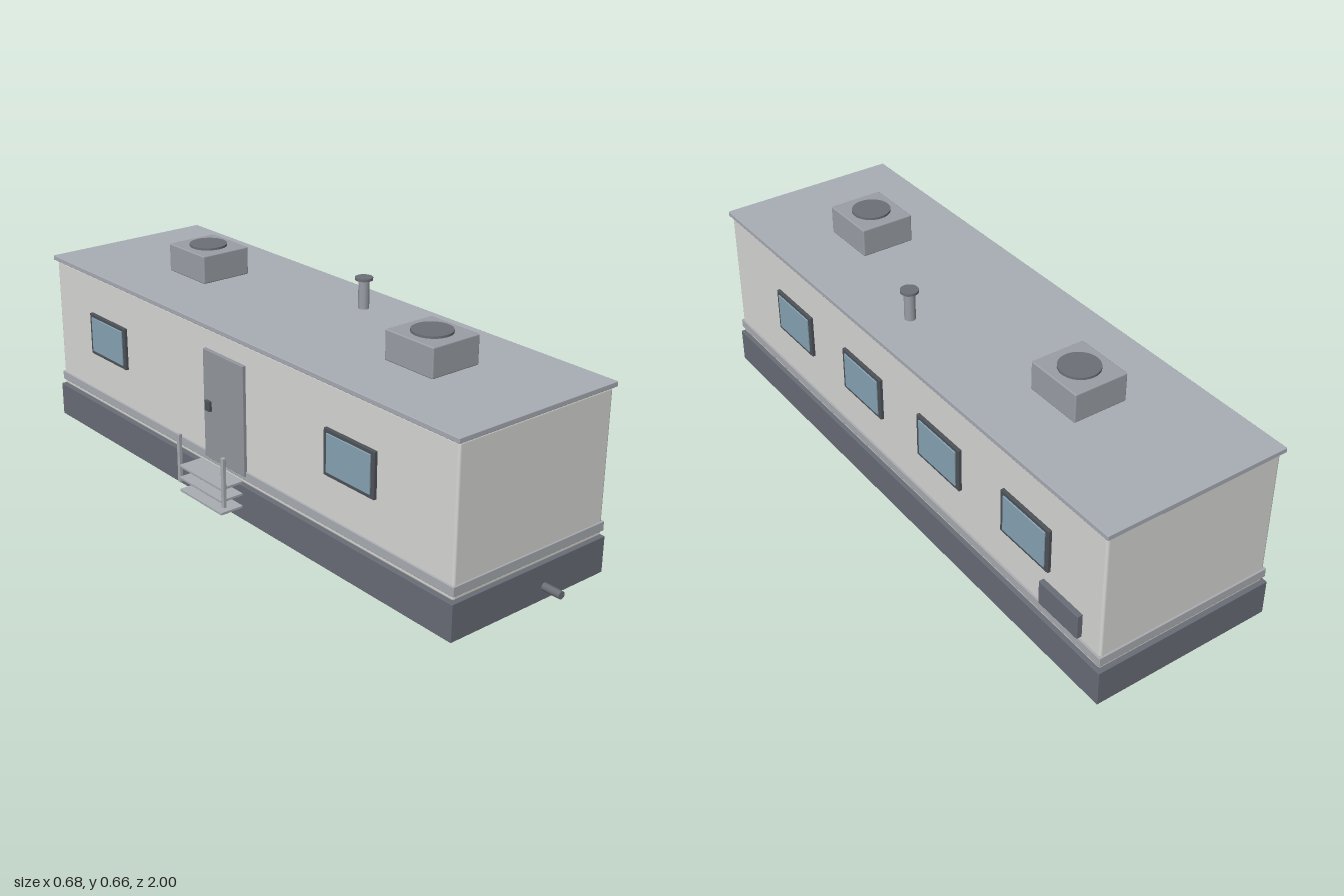
import * as THREE from 'three';
import { RoundedBoxGeometry } from 'three/addons/geometries/RoundedBoxGeometry.js';

const paint = (name, color) => {
  const m = new THREE.MeshStandardMaterial({ color });
  m.name = name;
  return m;
};

export function createModel() {
  const model = new THREE.Group();
  model.name = 'siteTrailer';

  const wall = paint('wallWhite', 0xd8d8d5);
  const trim = paint('trimGrey', 0xaaadb2);
  const roofGrey = paint('roofGrey', 0xa9adb5);
  const skirt = paint('skirtGrey', 0x696d77);
  const unitGrey = paint('unitGrey', 0x9b9fa6);
  const fanGrey = paint('fanGrey', 0x6c7076);
  const frameGrey = paint('frameGrey', 0x4e5359);
  const glass = paint('windowGlass', 0x88a5b5);
  const doorGrey = paint('doorGrey', 0x94979e);

  // Box given by its limits on each axis, with lightly softened edges
  const box = (name, mat, [x0, x1], [y0, y1], [z0, z1], r = 0.002) => {
    const geo = new RoundedBoxGeometry(x1 - x0, y1 - y0, z1 - z0, 2, r);
    const mesh = new THREE.Mesh(geo, mat);
    mesh.position.set((x0 + x1) / 2, (y0 + y1) / 2, (z0 + z1) / 2);
    mesh.name = name;
    model.add(mesh);
    return mesh;
  };
  const cylinder = (name, mat, r, h, sides, x, y, z) => {
    const mesh = new THREE.Mesh(new THREE.CylinderGeometry(r, r, h, sides), mat);
    mesh.position.set(x, y, z);
    mesh.name = name;
    model.add(mesh);
    return mesh;
  };

  // Cabin shell
  box('skirt', skirt, [-0.247, 0.331], [0, 0.111], [-1, 0.895]);
  box('cabin', wall, [-0.238, 0.322], [0.112, 0.55], [-0.99, 0.888], 0.008);
  box('lowerTrim', trim, [-0.242, 0.327], [0.128, 0.157], [-0.995, 0.892]);
  box('roof', roofGrey, [-0.247, 0.331], [0.55, 0.565], [-1, 0.895]);

  // Roof cooling units with fans
  for (const z of [0.495, -0.524]) {
    box('coolingUnit', unitGrey, [-0.043, 0.128], [0.567, 0.656], [z - 0.093, z + 0.093], 0.004);
    cylinder('coolingFan', fanGrey, 0.059, 0.01, 32, 0.042, 0.658, z);
  }

  // Vent pipe
  cylinder('ventPipe', unitGrey, 0.017, 0.092, 10, 0.199, 0.61, 0.041);
  cylinder('ventCap', fanGrey, 0.027, 0.008, 16, 0.199, 0.657, 0.041);

  // Windows: frame with a slightly raised pane; side is +1 or -1 in x
  const addWindow = (side, z) => {
    const face = side > 0 ? 0.322 : -0.238;
    const span = (a, b) => [face + side * a, face + side * b].sort((p, q) => p - q);
    box('windowFrame', frameGrey, span(-0.003, 0.01), [0.285, 0.423], [z - 0.102, z + 0.102]);
    box('windowPane', glass, span(0.006, 0.0135), [0.297, 0.412], [z - 0.088, z + 0.088], 0.001);
  };
  for (const z of [0.497, 0.105, -0.288, -0.681]) addWindow(1, z);
  for (const z of [0.495, -0.683]) addWindow(-1, z);

  // Utility hatch
  box('utilityHatch', skirt, [0.32, 0.338], [0.167, 0.243], [-0.916, -0.756]);

  // Door and handle
  box('door', doorGrey, [-0.249, -0.236], [0.143, 0.487], [-0.155, 0.037]);
  box('doorHandle', frameGrey, [-0.259, -0.247], [0.299, 0.331], [-0.14, -0.116]);

  // Entry steps and posts
  for (const y of [0.056, 0.096, 0.135]) {
    box('stepTread', trim, [-0.341, -0.263], [y - 0.004, y + 0.004], [-0.158, 0.048], 0.001);
  }
  for (const z of [-0.164, 0.054]) {
    box('stepPost', trim, [-0.34, -0.329], [0.08, 0.235], [z - 0.006, z + 0.006], 0.001);
  }

  // Tow coupling
  const hitch = cylinder('towHitch', fanGrey, 0.0115, 0.06, 16, 0.042, 0.08, 0.97);
  hitch.rotation.x = Math.PI / 2;

  return model;
}
